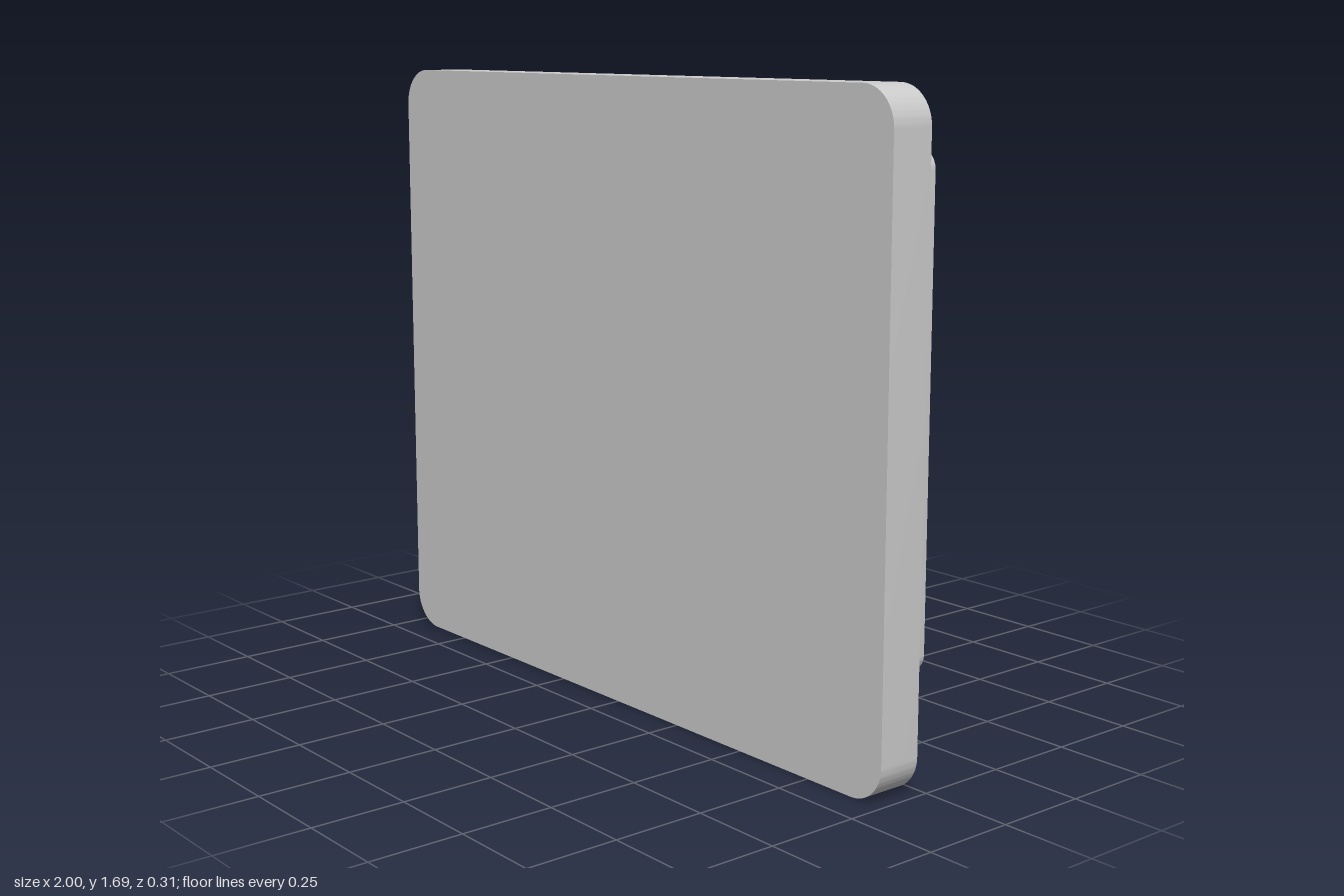
import * as THREE from 'three';
import { toCreasedNormals } from 'three/addons/utils/BufferGeometryUtils.js';

const material = new THREE.MeshStandardMaterial({ color: 0xcccccc });

// Slab with rounded corners, spanning y0..y1 and z0..z1, centred on x = 0
function roundedSlab(name, halfWidth, y0, y1, z0, z1, r) {
  const s = new THREE.Shape();
  s.absarc(halfWidth - r, y0 + r, r, -Math.PI / 2, 0);
  s.absarc(halfWidth - r, y1 - r, r, 0, Math.PI / 2);
  s.absarc(-halfWidth + r, y1 - r, r, Math.PI / 2, Math.PI);
  s.absarc(-halfWidth + r, y0 + r, r, Math.PI, Math.PI * 1.5);
  const geometry = new THREE.ExtrudeGeometry(s, { depth: z1 - z0, bevelEnabled: false, curveSegments: 12 });
  geometry.translate(0, 0, z0);
  const mesh = new THREE.Mesh(toCreasedNormals(geometry, 0.6), material);
  mesh.name = name;
  return mesh;
}

export function createModel() {
  const group = new THREE.Group();
  group.name = 'panel';
  group.add(
    // Wide front plate
    roundedSlab('frontPlate', 1, 0, 1.69, 0.034, 0.156, 0.1),
    // Smaller block behind it, set slightly above the middle
    roundedSlab('rearBlock', 0.837, 0.225, 1.528, -0.156, 0.034, 0.05)
  );
  return group;
}
